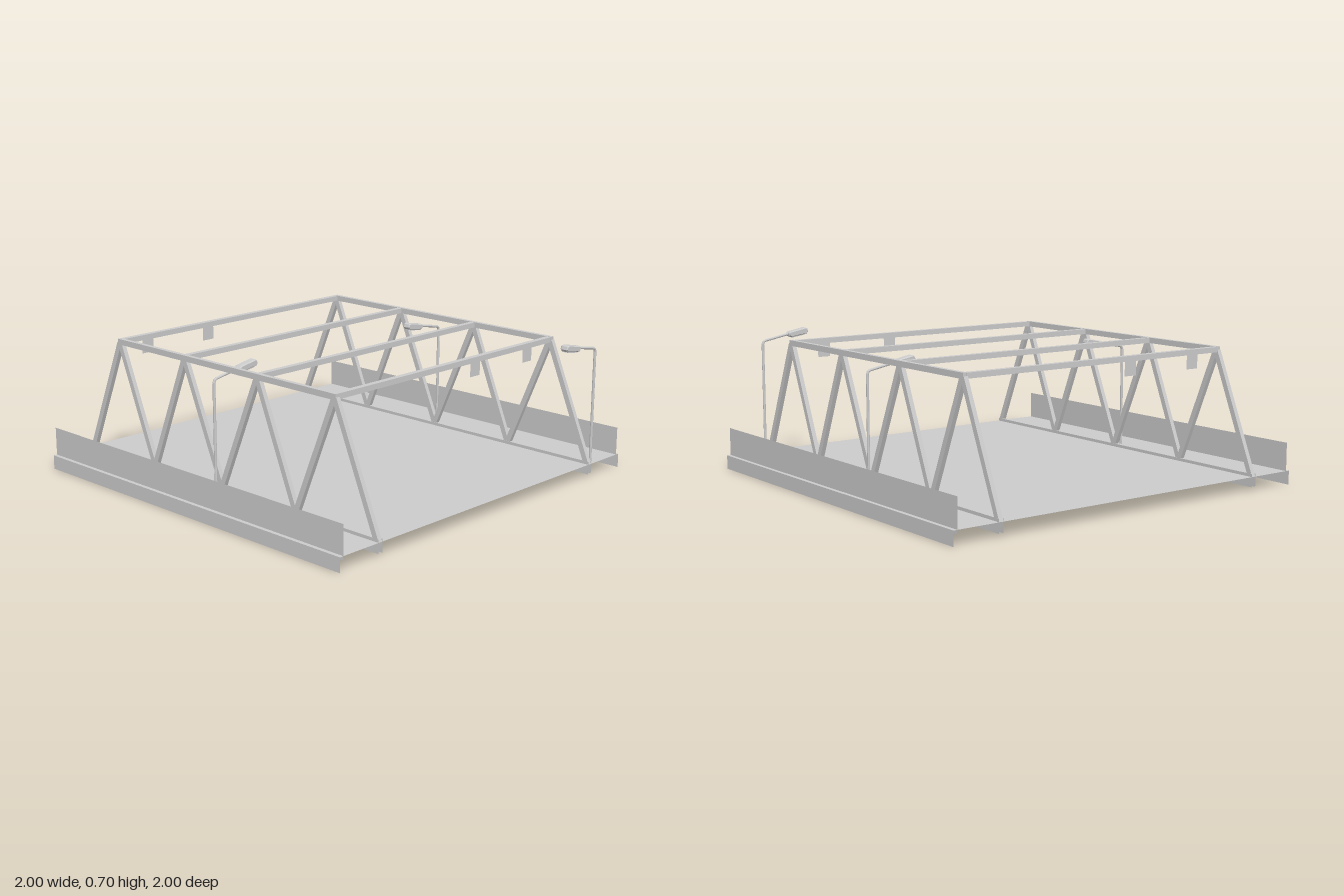
import * as THREE from 'three';

const steel = new THREE.MeshStandardMaterial({ color: 0xcccccc, flatShading: true });
const sheet = new THREE.MeshStandardMaterial({ color: 0xcccccc, side: THREE.DoubleSide });

function add(parent, name, geometry, material = steel) {
  const mesh = new THREE.Mesh(geometry, material);
  mesh.name = name;
  parent.add(mesh);
  return mesh;
}

// Upright sheet along z at a given x
function sidePanel(parent, name, x, y0, y1) {
  const panel = add(parent, name, new THREE.PlaneGeometry(2, y1 - y0), sheet);
  panel.rotation.y = Math.PI / 2;
  panel.position.set(x, (y0 + y1) / 2, 0);
}

// Level sheet at a given height
function flatPanel(parent, name, x, y, width) {
  const panel = add(parent, name, new THREE.PlaneGeometry(width, 2), sheet);
  panel.rotation.x = -Math.PI / 2;
  panel.position.set(x, y, 0);
}

// Sloping truss bar in the yz plane, cut level at both ends
function brace(parent, x, apexZ, baseZ) {
  const w = 0.015, top = 0.655, base = 0.07;
  const shape = new THREE.Shape([
    new THREE.Vector2(baseZ - w, base), new THREE.Vector2(baseZ + w, base),
    new THREE.Vector2(apexZ + w, top), new THREE.Vector2(apexZ - w, top),
  ]);
  const geometry = new THREE.ExtrudeGeometry(shape, { depth: 0.022, bevelEnabled: false });
  geometry.rotateY(-Math.PI / 2); // shape x becomes z
  geometry.translate(x + 0.011, 0, 0);
  add(parent, 'diagonalBrace', geometry);
}

// Street lamp built with its arm reaching towards -x
function streetLamp() {
  const lamp = new THREE.Group();
  lamp.name = 'streetLamp';
  const path = new THREE.CurvePath();
  const v = (x, y) => new THREE.Vector3(x, y, 0);
  path.add(new THREE.LineCurve3(v(0, 0.02), v(0, 0.585)));
  path.add(new THREE.QuadraticBezierCurve3(v(0, 0.585), v(0, 0.6), v(-0.02, 0.604)));
  path.add(new THREE.LineCurve3(v(-0.02, 0.604), v(-0.16, 0.63)));
  add(lamp, 'lampPole', new THREE.TubeGeometry(path, 60, 0.007, 8));

  // Lamp head: tapered housing with a flat lens below
  const outline = new THREE.Shape([
    [0.055, -0.008], [0.045, -0.016], [-0.048, -0.016], [-0.058, -0.006],
    [-0.054, 0.010], [-0.045, 0.016], [0.045, 0.012], [0.055, 0.006],
  ].map(([x, y]) => new THREE.Vector2(x, y)));
  const geometry = new THREE.ExtrudeGeometry(outline, {
    depth: 0.03, bevelSize: 0.004, bevelThickness: 0.006, bevelSegments: 1, bevelOffset: -0.004,
  });
  geometry.translate(0, 0, -0.015);
  const head = add(lamp, 'lampHead', geometry);
  head.position.set(-0.2, 0.634, 0);
  head.rotation.z = -0.14;
  const lens = add(lamp, 'lampLens', new THREE.BoxGeometry(0.075, 0.006, 0.03));
  lens.position.set(-0.202, 0.617, 0);
  lens.rotation.z = -0.14;
  return lamp;
}

export function createModel() {
  const bridge = new THREE.Group();
  bridge.name = 'trussBridge';

  // Road deck
  flatPanel(bridge, 'deck', 0, 0.07, 2);

  for (const s of [-1, 1]) {
    // Parapet and edge girder
    sidePanel(bridge, 'parapet', s * 0.98, 0.05, 0.21);
    sidePanel(bridge, 'edgeGirder', s * 1.0, 0, 0.07);

    // Side truss
    const truss = new THREE.Group();
    truss.name = 'sideTruss';
    bridge.add(truss);
    sidePanel(truss, 'lowerChordSide', s * 0.743, 0.02, 0.085);
    sidePanel(truss, 'lowerChordSide', s * 0.767, 0.02, 0.085);
    flatPanel(truss, 'lowerChordTop', s * 0.755, 0.085, 0.024);
    add(truss, 'topChord', new THREE.BoxGeometry(0.022, 0.028, 1.49))
      .position.set(s * 0.755, 0.657, 0);
    const bars = [[0.735, 0.985], [0.735, 0.49], [0.25, 0.495], [0.25, -0.005]];
    for (const [apex, base] of bars) {
      brace(truss, s * 0.755, apex, base);
      brace(truss, s * 0.755, -apex, -base);
    }
  }

  // Overhead cross beams
  for (const z of [-0.735, -0.255, 0.248, 0.73]) {
    add(bridge, 'crossBeam', new THREE.BoxGeometry(1.5, 0.026, 0.028))
      .position.set(0, 0.657, z);
  }

  // Square sign plates hung from the end beams
  for (const [x, z] of [[0.18, 0.73], [0.575, 0.73], [-0.59, -0.735], [-0.195, -0.735]]) {
    add(bridge, 'signPlate', new THREE.PlaneGeometry(0.07, 0.072), sheet)
      .position.set(x, 0.61, z);
  }

  // Street lamps
  for (const [x, y, z, turn] of [
    [-0.785, 0, -0.015, Math.PI], [0.785, 0, -0.015, 0], [0.792, 0.045, 0.975, 0],
  ]) {
    const lamp = streetLamp();
    lamp.position.set(x, y, z);
    lamp.rotation.y = turn;
    bridge.add(lamp);
  }
  return bridge;
}
